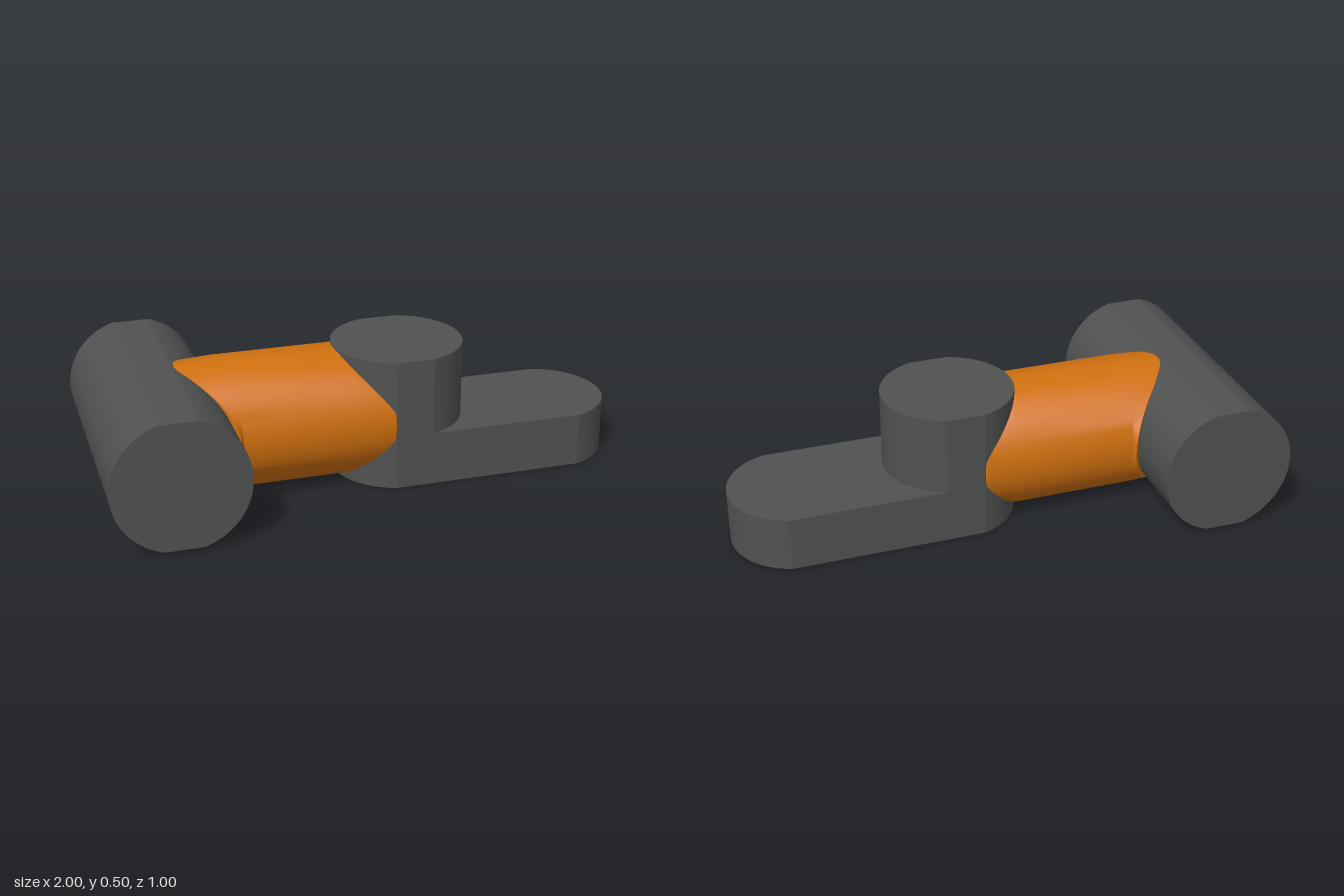
import * as THREE from 'three';
import { toCreasedNormals } from 'three/addons/utils/BufferGeometryUtils.js';

const grey = new THREE.MeshStandardMaterial({ color: 0x505252 });
const orange = new THREE.MeshStandardMaterial({ color: 0xd0700f, side: THREE.DoubleSide });
const R = 0.2475, HALF = 0.2375, MID = 0.25;

// Prism with rounded ends about x0 and x1, trimmed flat at +-HALF
function slotPrism(name, x0, x1, depth) {
  const a = Math.asin(HALF / R), pts = [], n = 28;
  for (const [cx, start] of [[x1, -a], [x0, Math.PI - a]]) {
    for (let i = 0; i <= n; i++) {
      const t = start + (2 * a * i) / n;
      pts.push(new THREE.Vector2(cx + R * Math.cos(t), R * Math.sin(t)));
    }
  }
  const geo = new THREE.ExtrudeGeometry(new THREE.Shape(pts), { depth, bevelEnabled: false });
  const mesh = new THREE.Mesh(toCreasedNormals(geo, 0.25), grey);
  mesh.name = name;
  return mesh;
}

// Sleeve along x: each ring gives x, y radius and z radius from |cos| and |sin|
function sleeve() {
  const rings = [
    (c) => [Math.max(-0.69, -0.74 + 0.25 * c) - 0.05, 0.2, 0.2],
    (c) => [Math.max(-0.69, -0.74 + 0.25 * c), 0.237, 0.262],
    (c) => [-0.56 + 0.08 * c, 0.247, 0.248],
    (c) => [-0.09 + 0.06 * c, 0.247, 0.248],
    (c, s) => [Math.min(0.09, 0.168 - 0.25 * s), 0.246, 0.241],
    (c, s) => [Math.min(0.09, 0.168 - 0.25 * s) + 0.05, 0.2, 0.2],
  ];
  const n = 96, pos = [], idx = [];
  rings.forEach((ring, j) => {
    for (let i = 0; i <= n; i++) {
      const t = (i / n) * Math.PI * 2, c = Math.cos(t), s = Math.sin(t);
      const [x, ry, rz] = ring(Math.abs(c), Math.abs(s));
      pos.push(x, MID + ry * s, rz * c);
      if (j < rings.length - 1 && i < n) {
        const p = j * (n + 1) + i, q = p + n + 1;
        idx.push(p, p + 1, q, p + 1, q + 1, q);
      }
    }
  });
  const geo = new THREE.BufferGeometry();
  geo.setAttribute('position', new THREE.Float32BufferAttribute(pos, 3));
  geo.setIndex(idx);
  // Face outwards
  const f = geo.index.array, v = (k) => new THREE.Vector3().fromBufferAttribute(geo.attributes.position, f[k]);
  const k = 2 * n * 6, a = v(k), b = v(k + 1), d = v(k + 2);
  const normal = b.clone().sub(a).cross(d.clone().sub(a));
  if (normal.z * a.z < 0) for (let i = 0; i < f.length; i += 3) [f[i + 1], f[i + 2]] = [f[i + 2], f[i + 1]];
  const mesh = new THREE.Mesh(toCreasedNormals(geo, 0.4), orange);
  mesh.name = 'connectingSleeve';
  return mesh;
}

export function createModel() {
  const model = new THREE.Group();
  model.name = 'jointLink';

  // Horizontal barrel across the end
  const barrel = slotPrism('crossBarrel', -0.7525, -0.7525, 1);
  barrel.position.set(0, 0.252, -0.5);

  // Upright post and the flat arm under it
  const post = slotPrism('uprightPost', 0.165, 0.165, 0.295);
  post.position.y = 0.205;
  const arm = slotPrism('flatArm', 0.165, 0.7525, 0.205);
  for (const part of [post, arm]) part.rotation.x = -Math.PI / 2;

  model.add(barrel, post, arm, sleeve());
  return model;
}
